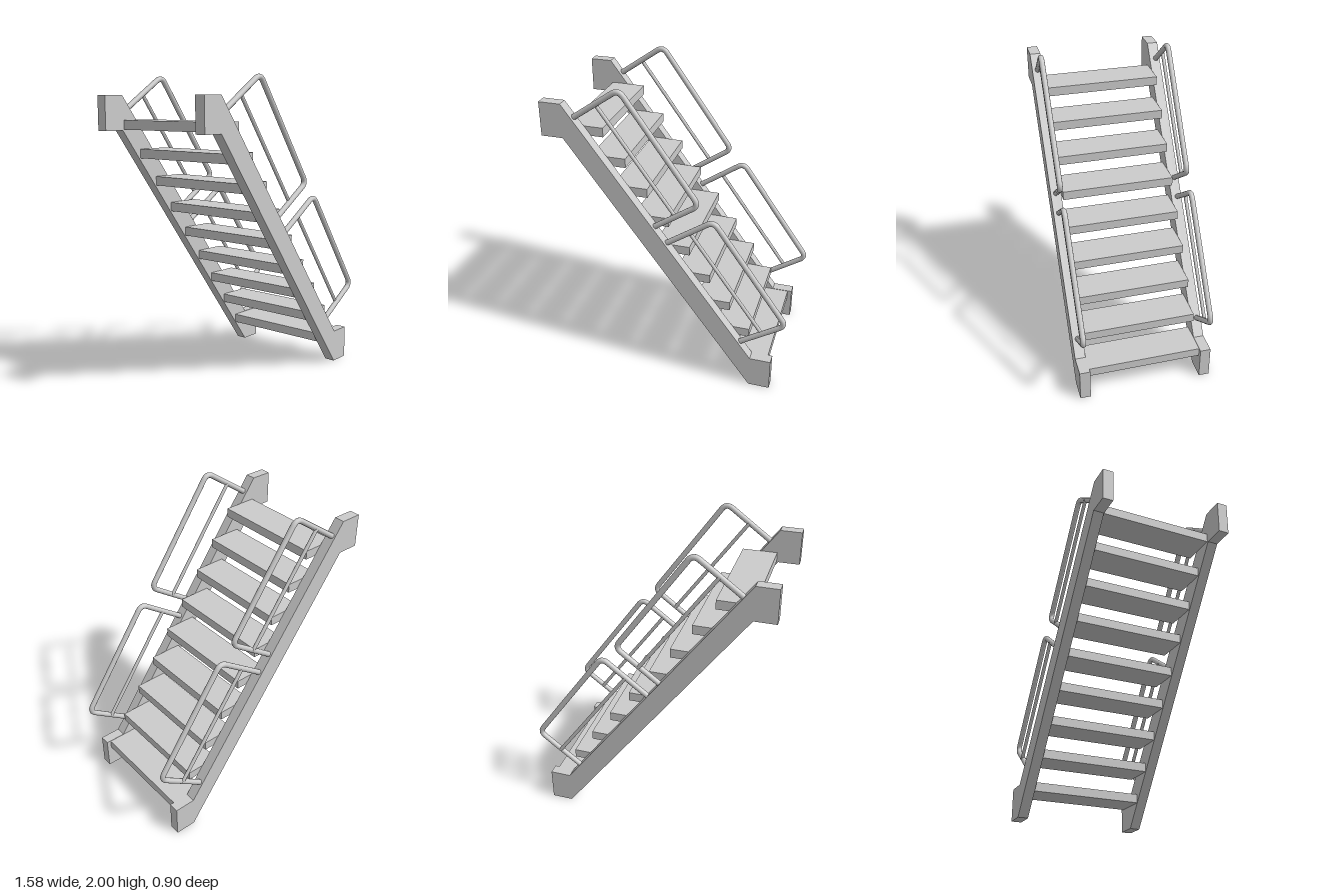
import * as THREE from 'three';

const material = new THREE.MeshStandardMaterial({ color: 0xcccccc });

function addMesh(parent, name, geometry) {
  const mesh = new THREE.Mesh(geometry, material);
  mesh.name = name;
  parent.add(mesh);
  return mesh;
}

// Path through corner points, with the inner corners rounded off
function roundedPath(points, cut) {
  const path = new THREE.CurvePath();
  let from = points[0];
  for (let i = 1; i < points.length - 1; i++) {
    const p = points[i];
    const towards = (q) => p.clone().add(q.clone().sub(p).setLength(cut));
    const a = towards(points[i - 1]);
    const b = towards(points[i + 1]);
    path.add(new THREE.LineCurve3(from, a));
    path.add(new THREE.QuadraticBezierCurve3(a, p, b));
    from = b;
  }
  path.add(new THREE.LineCurve3(from, points[points.length - 1]));
  return path;
}

// Bent tube frame with one thin bar halfway out; it leans slightly to +z
function createHandrail() {
  const rail = new THREE.Group();
  const lean = 0.019;
  const corners = [
    new THREE.Vector3(-0.595, 1.783, 0),
    new THREE.Vector3(-0.281, 2.003, lean),
    new THREE.Vector3(0.207, 1.314, lean),
    new THREE.Vector3(-0.1, 1.1, 0),
  ];
  addMesh(rail, 'railFrame', new THREE.TubeGeometry(roundedPath(corners, 0.05), 128, 0.018, 12));

  const start = corners[0].clone().lerp(corners[1], 0.49);
  const end = corners[3].clone().lerp(corners[2], 0.49);
  start.z = end.z = 0;
  addMesh(rail, 'middleBar', new THREE.TubeGeometry(new THREE.LineCurve3(start, end), 1, 0.012, 12));
  return rail;
}

export function createModel() {
  const stairs = new THREE.Group();
  stairs.name = 'staircase';

  // Side stringers with a square foot and a square head
  const outline = [
    [-0.79, 1.66], [-0.65, 1.66], [0.57, 0], [0.71, 0],
    [0.71, 0.22], [0.57, 0.22], [-0.65, 1.88], [-0.79, 1.88],
  ];
  const shape = new THREE.Shape(outline.map(([x, y]) => new THREE.Vector2(x, y)));
  const thickness = 0.07;
  const stringer = new THREE.ExtrudeGeometry(shape, { depth: thickness, bevelEnabled: false });
  addMesh(stairs, 'frontStringer', stringer).position.z = 0.378;
  addMesh(stairs, 'backStringer', stringer).position.z = -0.378 - thickness;

  // Nine open treads
  const tread = new THREE.BoxGeometry(0.226, 0.06, 0.756);
  for (let i = 0; i < 9; i++) {
    addMesh(stairs, 'tread' + (i + 1), tread)
      .position.set(0.568 - i * 0.137, 0.187 + i * 0.1885, 0);
  }

  // Two handrails, one above the other, on each stringer
  for (const [side, z] of [['front', 0.411], ['back', -0.421]]) {
    for (const [level, x, y] of [['Upper', 0, 0], ['Lower', 0.582, -0.785]]) {
      const rail = createHandrail();
      rail.name = side + level + 'Handrail';
      rail.position.set(x, y, z);
      stairs.add(rail);
    }
  }
  return stairs;
}
